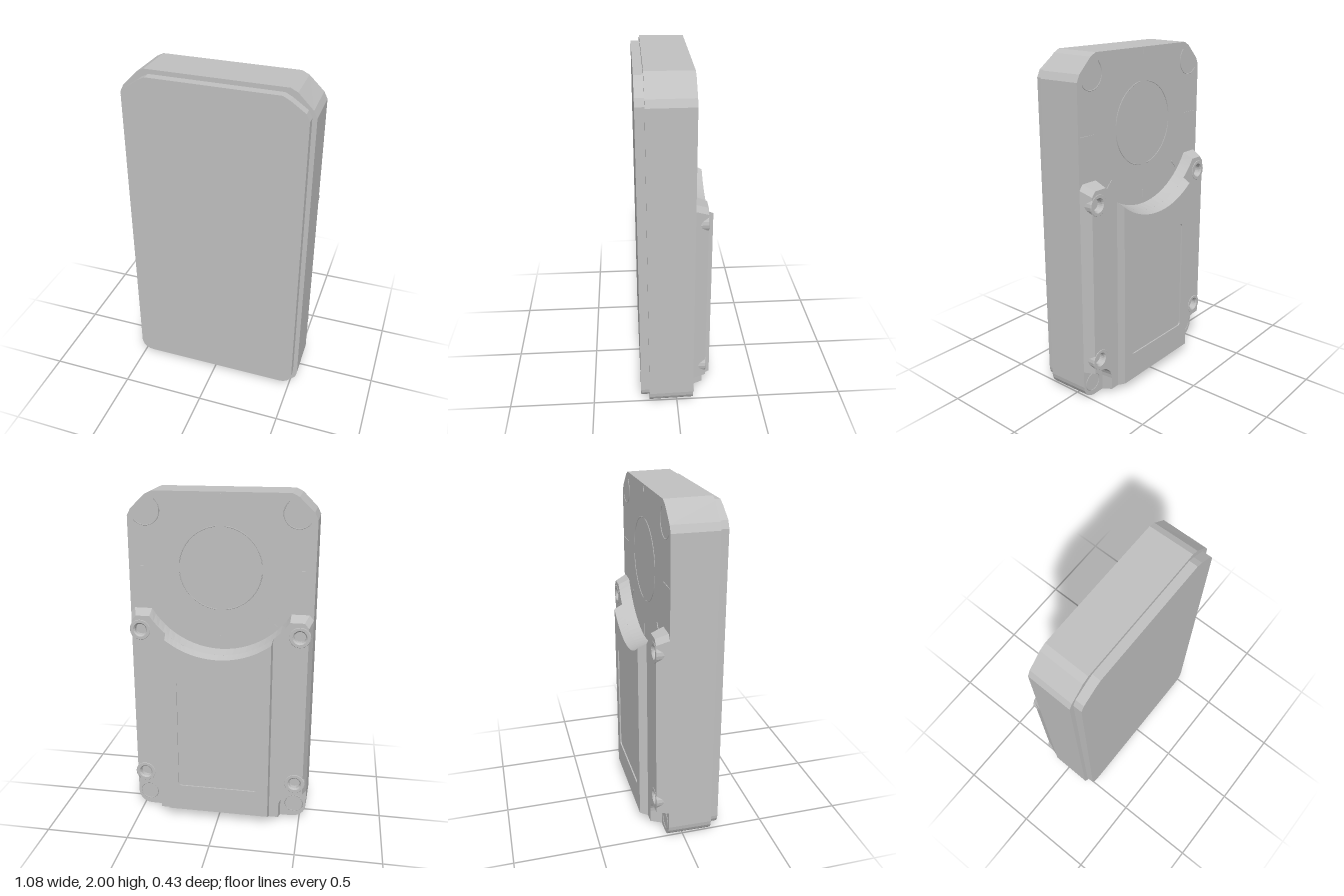
import * as THREE from 'three';
import { mergeGeometries } from 'three/addons/utils/BufferGeometryUtils.js';

const NOTCH_Y = 1.57; // centre of the round notch and of the ring on the back

// Completes a right-hand half outline (bottom to top) with its mirror image.
function mirrorOutline(half) {
  const left = half.filter(([x]) => Math.abs(x) > 1e-6).reverse().map(([x, y]) => [-x, y]);
  return [...half, ...left];
}

function arc(cx, cy, r, a0, a1, n) {
  return Array.from({ length: n + 1 }, (_, i) => {
    const a = a0 + ((a1 - a0) * i) / n;
    return [cx + r * Math.cos(a), cy + r * Math.sin(a)];
  });
}

// Walls joining a front outline to a matching rear outline.
function walls(a, za, b, zb) {
  const pos = [];
  a.forEach((p, i) => {
    const j = (i + 1) % a.length;
    const a0 = [...p, za], a1 = [...a[j], za], b0 = [...b[i], zb], b1 = [...b[j], zb];
    pos.push(...a0, ...b0, ...b1, ...a0, ...b1, ...a1);
  });
  const g = new THREE.BufferGeometry();
  g.setAttribute('position', new THREE.Float32BufferAttribute(pos, 3));
  g.computeVertexNormals();
  return g;
}

// Flat face filling an outline, facing the front or the back.
function cap(outline, z, back, holes = []) {
  const shape = new THREE.Shape(outline.map(([x, y]) => new THREE.Vector2(x, y)));
  shape.holes.push(...holes);
  let g = new THREE.ShapeGeometry(shape, 16);
  if (back) g.index.array.reverse();
  g = g.toNonIndexed().translate(0, 0, z);
  g.deleteAttribute('uv');
  g.computeVertexNormals();
  return g;
}

// Case outline: rounded lower corners, chamfered upper corners.
function caseOutline(inset) {
  const w = 0.542 - inset, r = 0.085 - inset * 0.5;
  return mirrorOutline([
    ...arc(w - r, inset + r, r, -Math.PI / 2, 0, 5),
    [w, 1.855], [w - 0.02, 1.895], [w - 0.105, 1.98 - inset], [w - 0.145, 2 - inset],
  ]);
}

// Round notch running from angle a0 down to the centre line.
function notch(r, a0) {
  const pts = arc(0, NOTCH_Y, r, a0, -Math.PI / 2, 12);
  pts[pts.length - 1][0] = 0;
  return pts;
}

// Raised rear slab; t = 0 at its base, 1 at its face.
function slabOutline(t) {
  const side = 0.538 - 0.022 * t, top = 1.32 - 0.03 * t, r = 0.48 + 0.015 * t;
  const cut = 0.09 + 0.008 * t;
  return mirrorOutline([
    [0.47 - cut, 0.004 + 0.022 * t],
    ...arc(0.47, 0.1, cut, Math.PI, Math.PI / 2, 6),
    [side, 0.1 + cut], [side, top - 0.03], [side - 0.025, top],
    ...notch(r, -Math.asin((NOTCH_Y - top) / r)),
  ]);
}

// Central battery-like block; t = 0 at its base, 1 at its face.
function blockOutline(t) {
  const w = 0.316 - 0.006 * t, r = 0.495 + 0.015 * t;
  return mirrorOutline([[w, 0.026 + 0.026 * t], ...notch(r, -Math.acos(w / r))]);
}

export function createModel() {
  const model = new THREE.Group();
  const grey = new THREE.MeshStandardMaterial({ color: 0xc0c0c0, side: THREE.DoubleSide });
  grey.name = 'light grey';

  const add = (name, geometry, x = 0, y = 0, z = 0) => {
    const mesh = new THREE.Mesh(geometry, grey);
    mesh.name = name;
    mesh.position.set(x, y, z);
    model.add(mesh);
    return mesh;
  };

  // Main case and front plate
  const body = caseOutline(0), bodyBack = caseOutline(0.004);
  add('case', mergeGeometries([
    walls(body, 0.165, bodyBack, -0.095), cap(body, 0.165, false), cap(bodyBack, -0.095, true),
  ]));
  const plate = caseOutline(0.026);
  add('frontPlate', mergeGeometries([walls(plate, 0.215, plate, 0.165), cap(plate, 0.215, false)]));

  // Rear slab with screw openings
  const screws = [];
  for (const x of [-0.467, 0.467]) for (const y of [0.27, 1.205]) screws.push([x, y]);
  const openings = screws.map(([x, y]) => new THREE.Path().absarc(x, y, 0.042, 0, Math.PI * 2, true));
  add('rearSlab', mergeGeometries([
    walls(slabOutline(0), -0.095, slabOutline(1), -0.165),
    cap(slabOutline(1), -0.165, true, openings),
  ]));

  // Screw bosses with sunken sockets
  const bossProfile = [[0.063, 0.1], [0.063, 0.163], [0.059, 0.167], [0.042, 0.167], [0.034, 0.158],
    [0.034, 0.128], [0, 0.128]].map(([r, h]) => new THREE.Vector2(r, h));
  for (const [x, y] of screws) {
    const g = new THREE.LatheGeometry(bossProfile, 20).rotateX(-Math.PI / 2).toNonIndexed();
    g.computeVertexNormals();
    add('screwBoss', g, x, y, 0);
  }

  // Central block with a shallow label recess
  const label = mirrorOutline([
    ...arc(0.225, 0.24, 0.02, -Math.PI / 2, 0, 3), ...arc(0.225, 0.9, 0.02, 0, Math.PI / 2, 3),
  ]);
  const recess = [...label].reverse();
  add('centralBlock', mergeGeometries([
    walls(blockOutline(0), -0.165, blockOutline(1), -0.215),
    cap(blockOutline(1), -0.215, true, [new THREE.Path(label.map(([x, y]) => new THREE.Vector2(x, y)))]),
  ]));
  add('labelRecess', mergeGeometries([
    walls(recess, -0.207, recess, -0.215), cap(label, -0.207, true),
  ]));

  // Fine raised lines on the back: broken ring, corner arcs and feet
  const line = (name, r, sweep, start, x, y) => {
    const mesh = add(name, new THREE.TorusGeometry(r, 0.003, 4, 32, sweep), x, y, -0.096);
    mesh.rotation.z = start;
  };
  for (let i = 0; i < 4; i++) line('ringLine', 0.24, 1.35, i * Math.PI / 2 + 0.1, 0, NOTCH_Y);
  for (const s of [-1, 1]) {
    line('cornerArc', 0.085, 3.3, s > 0 ? 2.3 : -2.46, s * 0.435, 1.89);
    line('footRing', 0.055, Math.PI * 2, 0, s * 0.465, 0.095);
  }

  // Short radial tick marks around the ring
  for (const [deg, r, len] of [[0, 0.465, 0.11], [180, 0.465, 0.11], [270, 0.43, 0.07],
    [225, 0.43, 0.07], [315, 0.43, 0.07], [90, 0.4, 0.03]]) {
    const a = THREE.MathUtils.degToRad(deg);
    const tick = add('tickMark', new THREE.BoxGeometry(len, 0.006, 0.004),
      r * Math.cos(a), NOTCH_Y + r * Math.sin(a), -0.096);
    tick.rotation.z = a;
  }

  return model;
}
